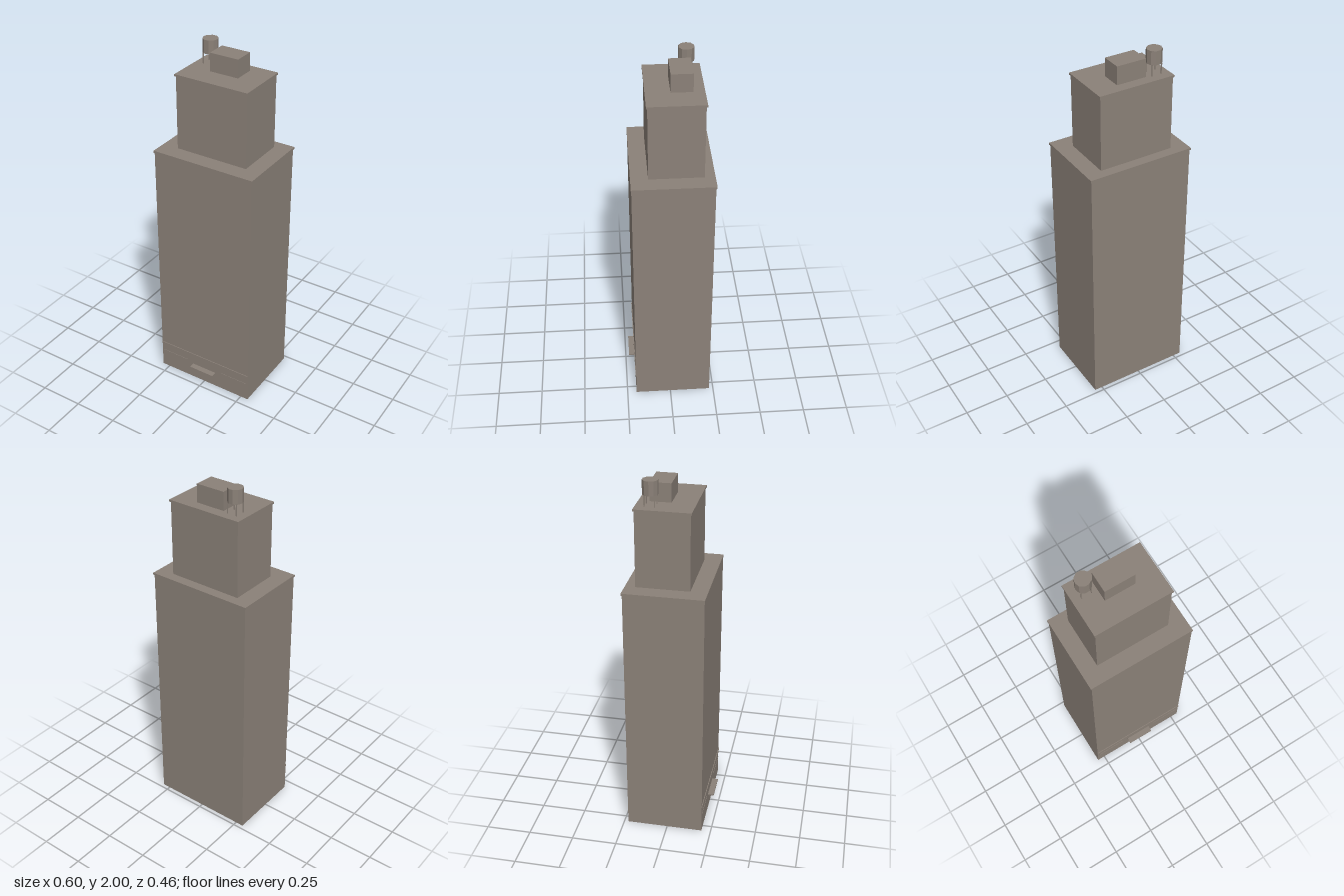
import * as THREE from 'three';

export function createModel() {
  const group = new THREE.Group();
  const stone = new THREE.MeshStandardMaterial({ color: 0x8b8178, side: THREE.DoubleSide, flatShading: true });
  stone.name = 'warm grey stone';

  function add(name, geometry, x, y, z, parent = group) {
    const mesh = new THREE.Mesh(geometry, stone);
    mesh.name = name;
    mesh.position.set(x, y, z);
    parent.add(mesh);
    return mesh;
  }
  // Box given by its limits on each axis
  function block(name, [x0, x1], [y0, y1], [z0, z1], parent) {
    return add(name, new THREE.BoxGeometry(x1 - x0, y1 - y0, z1 - z0),
      (x0 + x1) / 2, (y0 + y1) / 2, (z0 + z1) / 2, parent);
  }

  // Ground floor: four thin walls, open underneath
  const W = 0.295, back = -0.227, front = 0.198, floorTop = 0.16;
  const depth = front - back, midZ = (front + back) / 2;
  const ground = new THREE.Group();
  ground.name = 'groundFloor';
  group.add(ground);
  for (const s of [1, -1]) {
    const face = add(s > 0 ? 'frontWall' : 'backWall', new THREE.PlaneGeometry(2 * W, floorTop),
      0, floorTop / 2, s > 0 ? front : back, ground);
    face.rotation.y = s > 0 ? 0 : Math.PI;
    const side = add(s > 0 ? 'leftWall' : 'rightWall', new THREE.PlaneGeometry(depth, floorTop),
      s * W, floorTop / 2, midZ, ground);
    side.rotation.y = s * Math.PI / 2;
  }

  // Stepped tower with thin roof slabs
  block('mainTower', [-W, W], [floorTop, 1.435], [back, front]);
  block('mainRoofSlab', [-0.3, 0.3], [1.433, 1.445], [-0.232, 0.2]);
  block('upperTower', [-0.209, 0.209], [1.445, 1.855], [-0.177, 0.109]);
  block('upperRoofSlab', [-0.215, 0.215], [1.854, 1.865], [-0.183, 0.115]);
  block('roofBulkhead', [-0.083, 0.083], [1.865, 1.965], [-0.125, -0.012]);

  // Street front trim
  block('streetCornice', [-W, W], [0.158, 0.172], [0.196, 0.202]);
  block('entranceCanopy', [-0.077, 0.077], [0.087, 0.096], [0.196, 0.231]);
  for (const s of [-1, 1]) {
    const edges = [s * 0.115, s * 0.285].sort((a, b) => a - b);
    block('shopLintel', edges, [0.108, 0.113], [0.196, 0.2]);
  }

  // Water tank on four legs
  const tank = new THREE.Group();
  tank.name = 'waterTank';
  tank.position.set(-0.141, 0, -0.107);
  group.add(tank);
  const drum = add('tankDrum', new THREE.CylinderGeometry(0.0415, 0.0415, 0.075, 10), 0, 1.9625, 0, tank);
  drum.rotation.y = Math.PI / 2;
  for (const sx of [-1, 1]) for (const sz of [-1, 1]) {
    add('tankLeg', new THREE.BoxGeometry(0.005, 0.062, 0.005), sx * 0.027, 1.895, sz * 0.027, tank);
  }

  return group;
}
